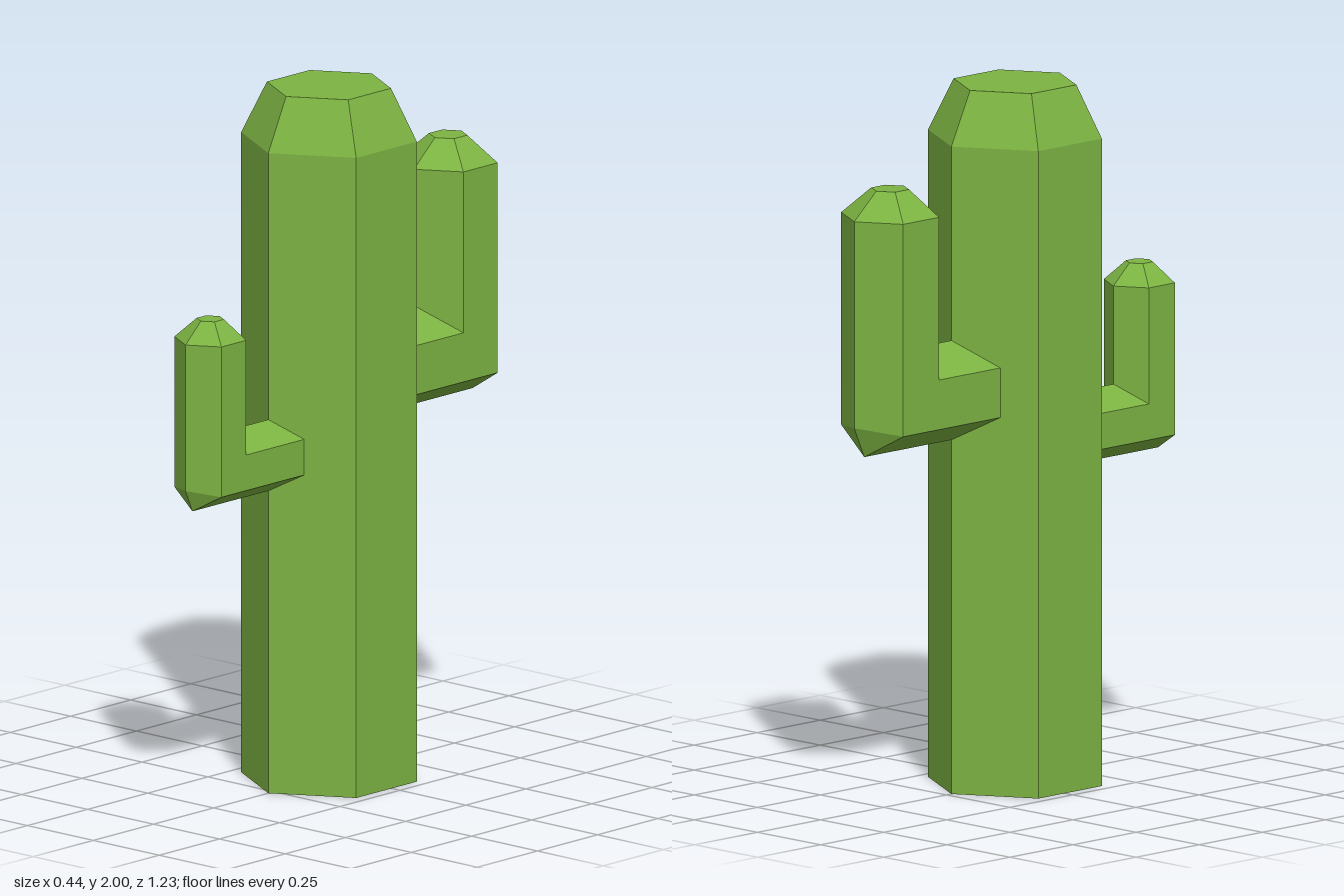
import * as THREE from 'three';

const green = new THREE.MeshStandardMaterial({ color: 0x7cb342, flatShading: true });
const SIDES = 6;

// Six-sided arm that grows out along +z, bends at a mitred elbow and rises to a tapered tip.
function armGeometry({ r, start, reach, height, shoulder, top, tipR }) {
  // Each ring maps u (1 = inner ridge, -1 = outer ridge) to [y, z], with its own radius for x.
  const elbow = (outerY, outerZ) => (u) =>
    u < -0.9 ? [height + outerY * r, reach + outerZ * r] : [height + u * r, reach - u * r];
  const rings = [
    [r, (u) => [height + u * r, start]],
    [r, elbow(-1, 0.72)], // outer ridge is chamfered between these two rings
    [r, elbow(-0.38, 1)],
    [r, (u) => [shoulder, reach - u * r]],
    [tipR, (u) => [top, reach - u * tipR]],
  ].map(([radius, place]) =>
    Array.from({ length: SIDES }, (_, k) => {
      const a = (k / SIDES) * Math.PI * 2;
      return new THREE.Vector3(Math.sin(a) * radius, ...place(Math.cos(a)));
    }));

  const points = [];
  const triangle = (a, b, c) => {
    const area = new THREE.Triangle(a, b, c).getArea();
    if (area > 1e-7) points.push(a, b, c); // the elbow rings share most corners
  };
  for (let i = 0; i < rings.length - 1; i++) {
    for (let k = 0; k < SIDES; k++) {
      const n = (k + 1) % SIDES;
      triangle(rings[i][k], rings[i + 1][k], rings[i][n]);
      triangle(rings[i + 1][k], rings[i + 1][n], rings[i][n]);
    }
  }
  // Flat end caps
  const first = rings[0], last = rings[rings.length - 1];
  for (let k = 1; k < SIDES - 1; k++) {
    triangle(first[0], first[k], first[k + 1]);
    triangle(last[0], last[k + 1], last[k]);
  }
  const geometry = new THREE.BufferGeometry().setFromPoints(points);
  geometry.computeVertexNormals();
  return geometry;
}

export function createModel() {
  const model = new THREE.Group();
  model.name = 'cactus';
  const add = (name, geometry) => {
    const mesh = new THREE.Mesh(geometry, green);
    mesh.name = name;
    model.add(mesh);
    return mesh;
  };

  // Hexagonal trunk with a chamfered top
  const profile = [[0, 0], [0.252, 0], [0.252, 1.85], [0.178, 2], [0, 2]]
    .map(([x, y]) => new THREE.Vector2(x, y));
  add('trunk', new THREE.LatheGeometry(profile, SIDES)).position.z = 0.021;

  // Small front arm and larger back arm
  add('frontArm', armGeometry({
    r: 0.103, start: 0.15, reach: 0.514, height: 0.977, shoulder: 1.36, top: 1.417, tipR: 0.039,
  }));
  add('backArm', armGeometry({
    r: 0.142, start: 0.1, reach: 0.474, height: 1.154, shoulder: 1.69, top: 1.765, tipR: 0.055,
  })).rotation.y = Math.PI;

  return model;
}
